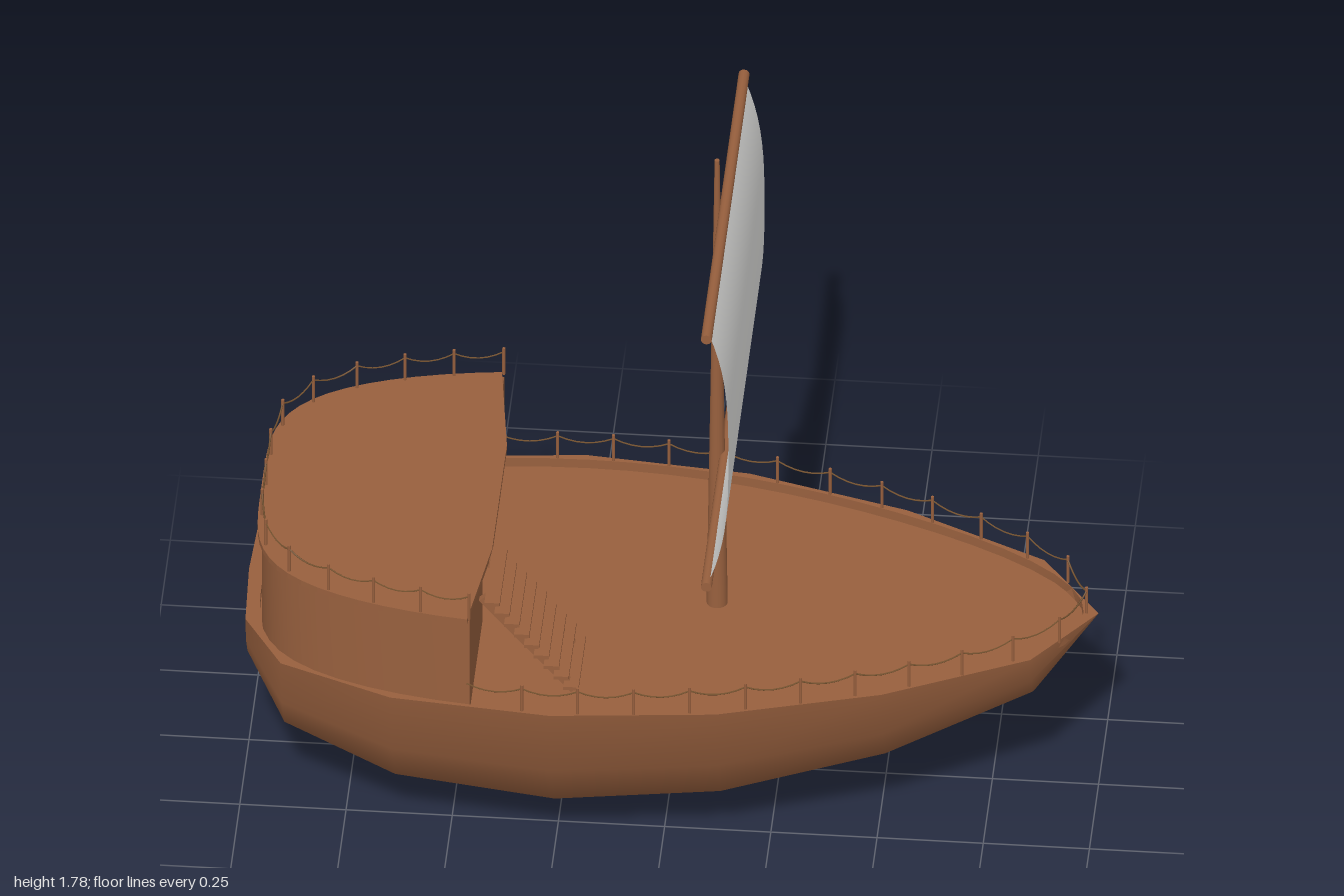
import * as THREE from 'three';

const RIM = 0.51, DECK = 0.485, ROOF = 0.762;

// Lengthwise position of a hull station, p from -1 (stern) to 1 (bow)
const station = p => -0.25 + p + 0.25 * p ** 4;

// Points [x, z] along the egg-shaped plan outline between two angles
function outline(a0, a1, n, scale) {
  return Array.from({ length: n + 1 }, (_, i) => {
    const a = a0 + (a1 - a0) * i / n;
    return new THREE.Vector2(station(Math.cos(a)) * scale, Math.sin(a) * 0.505 * scale);
  });
}

// Upright strip following plan points
function wallGeometry(points, y0, y1) {
  const g = new THREE.PlaneGeometry(1, 1, points.length - 1, 1);
  const pos = g.attributes.position, n = points.length;
  points.forEach((p, i) => {
    pos.setXYZ(i, p.x, y1, p.y);
    pos.setXYZ(i + n, p.x, y0, p.y);
  });
  g.computeVertexNormals();
  return g;
}

// Horizontal shape laid flat at height y
function flat(shape, y) {
  return new THREE.ShapeGeometry(shape).rotateX(-Math.PI / 2).translate(0, y, 0);
}

export function createModel() {
  const model = new THREE.Group();
  model.name = 'sailingBoat';
  const material = (name, color, side = THREE.FrontSide) => {
    const m = new THREE.MeshStandardMaterial({ color, side });
    m.name = name;
    return m;
  };
  const wood = material('wood', 0x98603e, THREE.DoubleSide);
  const rope = material('rope', 0x7a5632);
  const cloth = material('sailcloth', 0xe8e8e6, THREE.DoubleSide);

  const add = (name, geometry, mat = wood, parent = model) => {
    const mesh = new THREE.Mesh(geometry, mat);
    mesh.name = name;
    parent.add(mesh);
    return mesh;
  };

  // Hull: lower half of a sphere with its poles at bow and stern, stretched forward
  const hull = new THREE.SphereGeometry(1, 8, 8, Math.PI / 2, Math.PI).rotateZ(-Math.PI / 2);
  const hp = hull.attributes.position;
  for (let i = 0; i < hp.count; i++) {
    hp.setXYZ(i, station(hp.getX(i)), RIM + 0.505 * hp.getY(i), 0.505 * hp.getZ(i));
  }
  hull.computeVertexNormals();
  add('hull', hull);

  // Rim with a rounded opening, and the deck just below it
  const inner = outline(0, Math.PI * 2, 64, 0.965);
  const rim = new THREE.Shape(outline(0, Math.PI * 2, 16, 1).slice(0, -1));
  rim.holes.push(new THREE.Path(inner.slice(0, -1)));
  add('rim', flat(rim, RIM));
  add('rimInside', wallGeometry(inner, DECK, RIM));
  add('deck', flat(new THREE.Shape(inner.slice(0, -1)), DECK));

  // Cabin: rounded stern wall and a front wall with a recessed doorway
  const start = Math.acos(-0.21);
  const stern = outline(start, Math.PI * 2 - start, 36, 0.96);
  const V = (x, z) => new THREE.Vector2(x, z);
  add('cabinWall', wallGeometry(stern, DECK, ROOF - 0.01));
  const front = [V(-0.44, 0.474), V(-0.44, 0.12), V(-0.48, 0.12),
    V(-0.48, -0.12), V(-0.44, -0.12), V(-0.44, -0.474)];
  for (let i = 0; i < front.length - 1; i++) {
    add('cabinFront', wallGeometry([front[i], front[i + 1]], DECK, ROOF - 0.01));
  }
  const roofShape = new THREE.Shape([...outline(start, Math.PI * 2 - start, 36, 0.97),
    V(-0.41, -0.2), V(-0.41, 0.2)]);
  const roof = new THREE.ExtrudeGeometry(roofShape, { depth: 0.015, bevelEnabled: false });
  add('cabinRoof', roof.rotateX(-Math.PI / 2).translate(0, ROOF - 0.015, 0));

  // Stairs from the deck to the cabin roof
  const stairs = new THREE.Group();
  stairs.name = 'stairs';
  model.add(stairs);
  for (const z of [0.228, 0.372]) {
    const beam = add('stairBeam', new THREE.BoxGeometry(0.335, 0.02, 0.016), wood, stairs);
    beam.position.set(-0.31, 0.622, z);
    beam.rotation.z = Math.atan2(-0.26, 0.22);
  }
  for (let i = 0; i < 9; i++) {
    const tread = add('stairTread', new THREE.BoxGeometry(0.036, 0.009, 0.21), wood, stairs);
    tread.position.set(-0.393 + i * 0.0232, 0.753 - i * 0.0295, 0.3);
  }

  // Railings: evenly spaced posts joined by sagging ropes
  function railing(name, points, y, segments, endPosts) {
    const group = new THREE.Group();
    group.name = name;
    model.add(group);
    const path = new THREE.CatmullRomCurve3(points.map(p => new THREE.Vector3(p.x, y, p.y)));
    const spots = path.getSpacedPoints(segments);
    spots.forEach((s, i) => {
      if (endPosts || (i > 0 && i < segments)) {
        add('railPost', new THREE.CylinderGeometry(0.004, 0.004, 0.077, 6), wood, group)
          .position.set(s.x, y + 0.0365, s.z);
      }
      if (i === segments) return;
      const a = s.clone().setY(y + 0.064), b = spots[i + 1].clone().setY(y + 0.064);
      const mid = a.clone().lerp(b, 0.5).setY(y + 0.032);
      add('railRope', new THREE.TubeGeometry(
        new THREE.QuadraticBezierCurve3(a, mid, b), 6, 0.0022, 4), rope, group);
    });
  }
  railing('deckRailing', outline(-start, start, 80, 0.972), RIM, 24, false);
  railing('roofRailing', stern, ROOF, 14, true);

  // Mast and the two yards
  add('mast', new THREE.CylinderGeometry(0.006, 0.025, 1.79 - DECK, 16))
    .position.set(0.102, (1.79 + DECK) / 2, 0);
  for (const y of [0.922, 1.653]) {
    const yard = add('yard', new THREE.CylinderGeometry(0.013, 0.013, 1.03, 12));
    yard.position.set(0.121, y, 0);
    yard.rotation.x = Math.PI / 2;
  }

  // Sail bellying forward between the yards
  const sail = new THREE.PlaneGeometry(0.985, 0.725, 1, 20).rotateY(Math.PI / 2);
  const sp = sail.attributes.position;
  for (let i = 0; i < sp.count; i++) {
    const t = Math.abs(sp.getY(i) / 0.3625);
    sp.setX(i, 0.126 + 0.045 * (1 - t ** 3));
  }
  sail.computeVertexNormals();
  add('sail', sail.translate(0, 1.2875, 0), cloth);

  return model;
}
